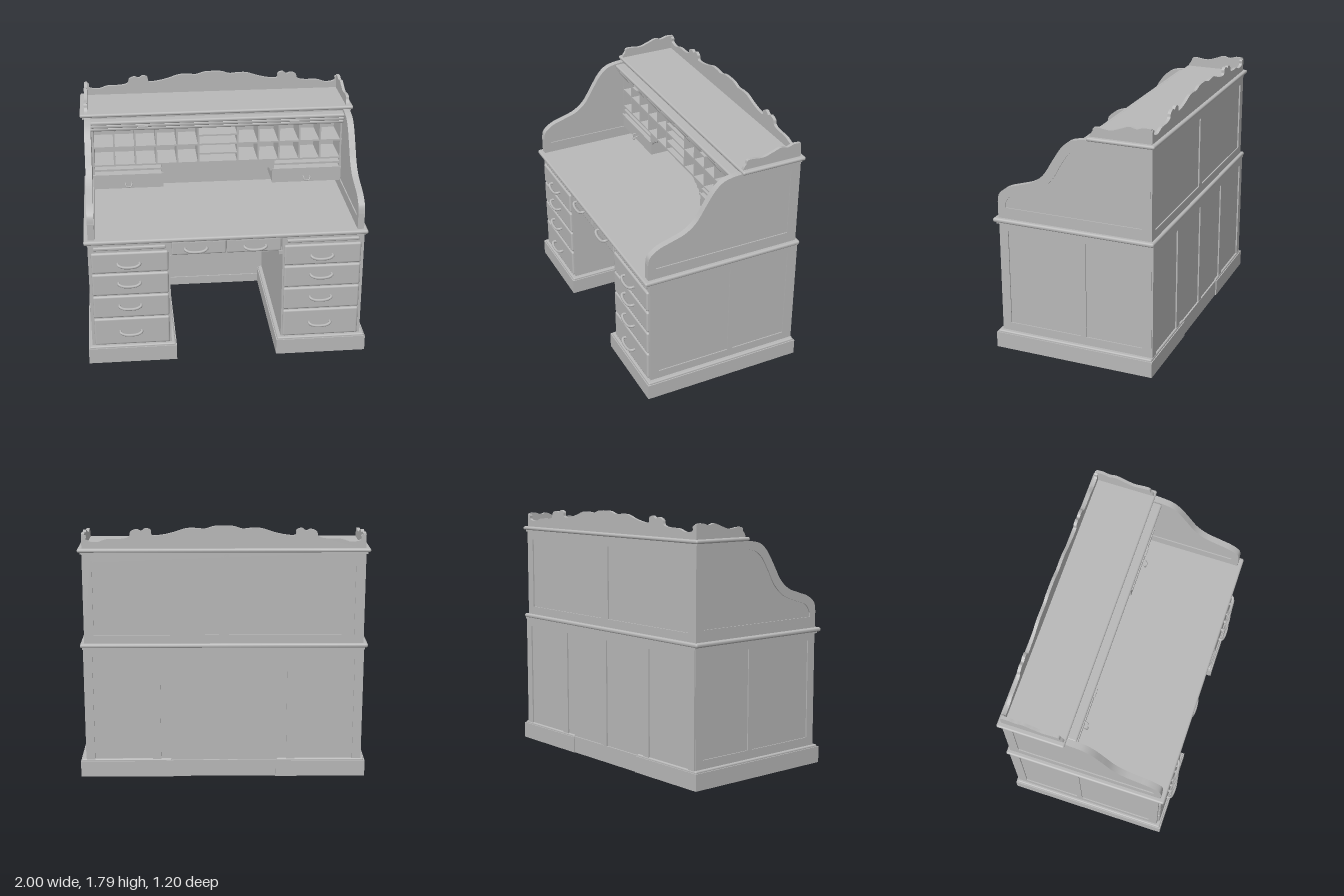
import * as THREE from 'three';
import { RoundedBoxGeometry } from 'three/addons/geometries/RoundedBoxGeometry.js';

const wood = new THREE.MeshStandardMaterial({ color: 0xb8b8b8 });
wood.name = 'greyWood';

export function createModel() {
  const desk = new THREE.Group();
  desk.name = 'rollTopDesk';

  const add = (name, geometry, parent = desk) => {
    const mesh = new THREE.Mesh(geometry, wood);
    mesh.name = name;
    parent.add(mesh);
    return mesh;
  };
  // Box given by its bounds; r > 0 rounds the edges
  const box = (name, x0, x1, y0, y1, z0, z1, r = 0, parent = desk) => {
    const size = [x1 - x0, y1 - y0, z1 - z0];
    const g = r ? new RoundedBoxGeometry(...size, 2, r) : new THREE.BoxGeometry(...size);
    g.translate((x0 + x1) / 2, (y0 + y1) / 2, (z0 + z1) / 2);
    return add(name, g, parent);
  };
  const vec = (pts) => pts.map(([a, b]) => new THREE.Vector2(a, b));
  const extrude = (shape, depth) =>
    new THREE.ExtrudeGeometry(shape, { depth, bevelEnabled: false, curveSegments: 40 });
  // Extrude a (z, y) shape across the x range x0..x1
  const across = (name, shape, x0, x1) =>
    add(name, extrude(shape, x1 - x0).rotateY(-Math.PI / 2).translate(x1, 0, 0));

  // Drawer pull: a bowed bar on two feet
  const pull = (x, y, z, w = 0.075, r = 0.01, drop = 0.008) => {
    const g = new THREE.Group();
    g.name = 'drawerPull';
    const curve = new THREE.CatmullRomCurve3([
      [-w, 0.004, -0.01], [-w, 0.004, 0.02], [-w * 0.6, -drop, 0.032],
      [w * 0.6, -drop, 0.032], [w, 0.004, 0.02], [w, 0.004, -0.01],
    ].map((p) => new THREE.Vector3(...p)));
    add('pullBar', new THREE.TubeGeometry(curve, 24, r, 8), g);
    g.position.set(x, y, z);
    desk.add(g);
  };

  // Pedestals with plinths, drawers and panelled outer sides
  const pedestals = [
    { x0: -0.965, x1: -0.405, p0: -1.0, p1: -0.37, outer: -1 },
    { x0: 0.385, x1: 0.955, p0: 0.35, p1: 1.0, outer: 1 },
  ];
  const levels = [0.135, 0.355, 0.535, 0.71, 0.875];
  const pullHeights = [0.24, 0.45, 0.63, 0.78];
  for (const { x0, x1, p0, p1, outer } of pedestals) {
    box('plinth', p0, p1, 0, 0.115, -0.595, 0.575);
    box('plinthMoulding', p0 + 0.008, p1 - 0.008, 0.105, 0.13, -0.588, 0.567, 0.01);
    box('pedestal', x0, x1, 0.1, 0.95, -0.575, 0.54);
    box('writingSlide', x0 + 0.03, x1 - 0.03, 0.888, 0.912, 0.5, 0.558, 0.008);
    levels.slice(0, 4).forEach((y, i) => {
      box('drawerFront', x0 + 0.012, x1 - 0.012, y, levels[i + 1] - 0.008, 0.5, 0.556, 0.014);
      pull((x0 + x1) / 2 - 0.008, pullHeights[i], 0.558);
    });
    const a = outer < 0 ? x0 - 0.008 : x1;
    for (const [z0, z1] of [[-0.575, -0.51], [-0.1, -0.06], [0.475, 0.54]]) {
      box('sideStile', a, a + 0.008, 0.13, 0.945, z0, z1);
    }
    box('sideRail', a, a + 0.008, 0.885, 0.945, -0.575, 0.54);
    box('sideRail', a, a + 0.008, 0.12, 0.19, -0.575, 0.54);
  }

  // Knee hole: back panel, centre drawers, corner brackets
  box('kneeBackPanel', -0.41, 0.39, 0, 0.95, -0.575, -0.55);
  box('kneeBaseRail', -0.37, 0.35, 0, 0.065, -0.55, -0.54);
  box('centreDrawerCase', -0.405, 0.385, 0.815, 0.95, -0.55, 0.525);
  box('centreDrawerFront', -0.395, -0.012, 0.825, 0.93, 0.5, 0.545, 0.012);
  box('centreDrawerFront', -0.008, 0.375, 0.825, 0.93, 0.5, 0.545, 0.012);
  pull(-0.225, 0.87, 0.545);
  pull(0.19, 0.87, 0.545);
  for (const [x, s] of [[-0.405, 1], [0.385, -1]]) {
    box('kneeBracket', Math.min(x, x + s * 0.025), Math.max(x, x + s * 0.025), 0.79, 0.82, 0.47, 0.53);
  }

  // Lower back frame with four panels
  for (const x of [-0.94, -0.475, -0.005, 0.465, 0.93]) {
    box('backStile', x - 0.03, x + 0.03, 0.0, 0.945, -0.585, -0.575);
  }
  box('backTopRail', -0.965, 0.955, 0.88, 0.945, -0.585, -0.575);
  box('backBottomRail', -0.965, 0.955, 0, 0.12, -0.587, -0.575);

  // Desktop
  box('desktop', -0.998, 0.982, 0.942, 0.972, -0.592, 0.582, 0.013);
  box('desktopMoulding', -0.978, 0.966, 0.93, 0.95, -0.587, 0.56);

  // Curved side walls: thin panel inside a proud frame
  const sideShape = new THREE.Shape();
  sideShape.moveTo(-0.56, 0.96);
  sideShape.lineTo(0.55, 0.96);
  sideShape.lineTo(0.55, 1.09);
  sideShape.splineThru(vec([[0.535, 1.15], [0.47, 1.2], [0.38, 1.23], [0.28, 1.265], [0.2, 1.33],
    [0.13, 1.44], [0.07, 1.53], [0.01, 1.583], [-0.06, 1.603], [-0.13, 1.61]]));
  sideShape.lineTo(-0.56, 1.61);
  const frameShape = sideShape.clone();
  const opening = new THREE.Path();
  opening.moveTo(-0.5, 1.05);
  opening.lineTo(-0.5, 1.55);
  opening.lineTo(-0.1, 1.55);
  opening.splineThru(vec([[-0.04, 1.535], [0.02, 1.49], [0.08, 1.4], [0.14, 1.3], [0.23, 1.22],
    [0.35, 1.175], [0.45, 1.14], [0.495, 1.08]]));
  opening.lineTo(0.495, 1.05);
  frameShape.holes.push(opening);
  for (const [a, b] of [[-0.968, -0.922], [0.908, 0.954]]) {
    across('sideFrame', frameShape, a, b);
    across('sidePanel', sideShape, a + 0.008, b - 0.008);
  }

  // Upper back with two panels
  box('upperBack', -0.96, 0.946, 0.96, 1.61, -0.56, -0.53);
  for (const x of [-0.935, -0.007, 0.92]) {
    box('upperBackStile', x - 0.033, x + 0.033, 0.97, 1.61, -0.57, -0.56);
  }
  box('upperBackRail', -0.965, 0.952, 1.54, 1.61, -0.57, -0.56);
  box('upperBackRail', -0.965, 0.952, 0.97, 1.03, -0.57, -0.56);

  // Top board and rolled-up shutter edge
  box('topBoard', -0.998, 0.982, 1.61, 1.636, -0.592, -0.12, 0.012);
  box('topMoulding', -0.98, 0.965, 1.597, 1.614, -0.575, -0.13);
  box('shutterBeam', -0.925, 0.91, 1.572, 1.6, -0.2, -0.06, 0.012);
  box('shutterSlat', -0.925, 0.91, 1.545, 1.575, -0.2, -0.07, 0.012);
  box('shutterSlat', -0.925, 0.91, 1.518, 1.546, -0.2, -0.085, 0.012);
  for (const x of [-0.55, 0.54]) box('shutterGrip', x - 0.035, x + 0.035, 1.55, 1.562, -0.08, -0.05);

  // Pigeonholes
  const back = -0.37;
  const front = -0.12;
  const t = 0.006;
  box('pigeonholeBack', -0.925, 0.91, 0.97, 1.54, back - 0.02, back);
  for (const y of [1.238, 1.378, 1.518]) {
    box('pigeonholeShelf', -0.922, 0.908, y - t, y + t, back, front);
  }
  for (const x of [-0.912, -0.762, -0.61, -0.457, -0.305, -0.15, 0.138, 0.29, 0.442, 0.592, 0.745, 0.898]) {
    box('pigeonholeDivider', x - t, x + t, 1.238, 1.518, back, front);
  }
  for (const y of [1.305, 1.448]) box('centreShelf', -0.15, 0.138, y - t, y + t, back, front);

  // Small drawers with open slots above, on each side
  for (const [x0, x1] of [[-0.922, -0.41], [0.395, 0.908]]) {
    box('smallDrawer', x0, x1, 1.055, 1.148, back, front);
    box('slotShelf', x0, x1, 1.152, 1.168, back, front + 0.012);
    box('slotShelf', x0, x1, 1.193, 1.207, back, front);
    for (const x of [x0, x1 - 0.014]) box('slotWall', x, x + 0.014, 1.06, 1.24, back, front);
    pull((x0 + x1) / 2, 1.095, front, 0.024, 0.005, 0.016);
  }

  // Arched valance over the centre niche
  const corner = [[-0.412, 1.238], [-0.412, 1.15], [-0.395, 1.15], [-0.385, 1.175], [-0.36, 1.178],
    [-0.35, 1.2], [-0.32, 1.205], [-0.3, 1.225], [-0.27, 1.23]];
  const mirrored = corner.map(([x, y]) => [-x - 0.014, y]).reverse();
  add('nicheValance', extrude(new THREE.Shape(vec([...corner, ...mirrored])), 0.015)
    .translate(0, 0, front - 0.015));

  // Scrolled gallery: back board and two side boards
  const half = [[-0.955, 1.73], [-0.93, 1.72], [-0.925, 1.69], [-0.86, 1.68], [-0.79, 1.7], [-0.7, 1.702],
    [-0.645, 1.715], [-0.63, 1.75], [-0.59, 1.765], [-0.56, 1.755], [-0.53, 1.772], [-0.495, 1.76],
    [-0.485, 1.725], [-0.42, 1.727], [-0.34, 1.745], [-0.26, 1.77], [-0.19, 1.772], [-0.13, 1.768],
    [-0.07, 1.785], [0, 1.788]];
  const crest = new THREE.Shape();
  crest.moveTo(-0.965, 1.63);
  crest.lineTo(-0.965, 1.73);
  crest.splineThru(vec([...half, ...half.slice(0, -1).map(([x, y]) => [-x - 0.01, y]).reverse()]));
  crest.lineTo(0.95, 1.63);
  add('galleryBack', extrude(crest, 0.022).translate(0, 0, -0.567));
  const wing = new THREE.Shape();
  wing.moveTo(-0.56, 1.63);
  wing.lineTo(-0.13, 1.63);
  wing.splineThru(vec([[-0.14, 1.655], [-0.155, 1.675], [-0.165, 1.7], [-0.2, 1.703], [-0.28, 1.695],
    [-0.35, 1.715], [-0.41, 1.735], [-0.46, 1.725], [-0.51, 1.738], [-0.56, 1.735]]));
  for (const x of [-0.965, 0.93]) across('gallerySide', wing, x, x + 0.022);

  return desk;
}
